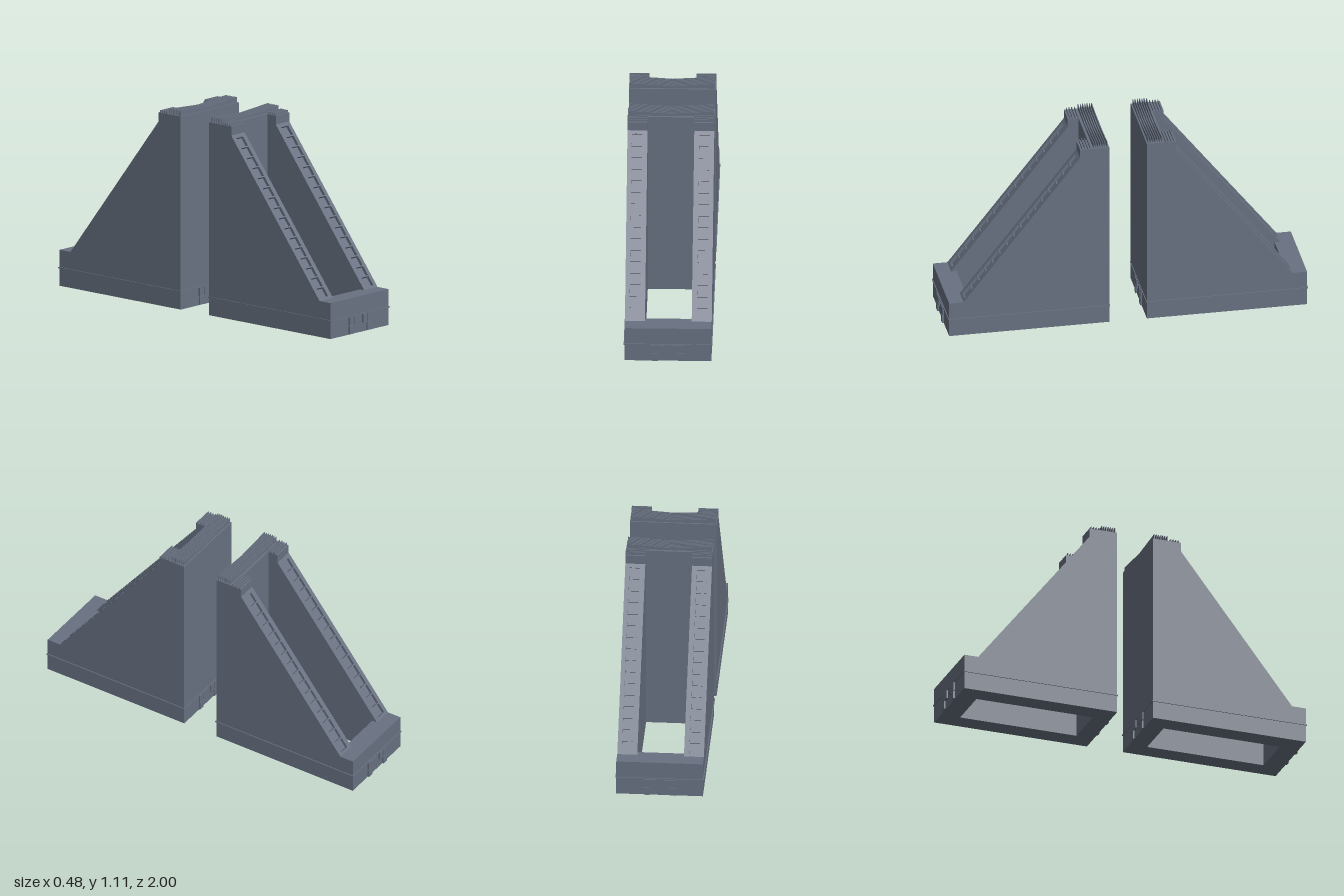
import * as THREE from 'three';

const stone = new THREE.MeshStandardMaterial({ color: 0x697282, flatShading: true });

const HALF = 0.236, INNER = 0.127;      // outer and inner faces of the side walls
const FOOT = [0.91, 0.2], HEAD = [0.265, 1.025]; // ends of the slope as [z, y]
const TILT = Math.atan2(FOOT[0] - HEAD[0], HEAD[1] - FOOT[1]);
const NORMAL = [Math.cos(TILT), Math.sin(TILT)];

function add(parent, name, geometry, x = 0, y = 0, z = 0) {
  const mesh = new THREE.Mesh(geometry, stone);
  mesh.name = name;
  mesh.position.set(x, y, z);
  parent.add(mesh);
  return mesh;
}

// Box given by its limits on each axis
function block(parent, name, x0, x1, y0, y1, z0, z1) {
  return add(parent, name, new THREE.BoxGeometry(x1 - x0, y1 - y0, z1 - z0),
    (x0 + x1) / 2, (y0 + y1) / 2, (z0 + z1) / 2);
}

// Profile in [z, y], extruded across x0..x1
function slab(parent, name, points, x0, x1) {
  const shape = new THREE.Shape(points.map(p => new THREE.Vector2(...p)));
  const geometry = new THREE.ExtrudeGeometry(shape, { depth: x1 - x0, bevelEnabled: false });
  add(parent, name, geometry, x1).rotation.y = -Math.PI / 2;
}

// Point on the slope, t = 0 at the foot, sunk below the surface by depth
function onSlope(t, depth = 0) {
  return [0, 1].map(i => FOOT[i] + (HEAD[i] - FOOT[i]) * t - NORMAL[i] * depth);
}

function sideWall(sign) {
  const wall = new THREE.Group();
  wall.name = sign > 0 ? 'leftWall' : 'rightWall';
  const span = (a, b) => sign > 0 ? [a, b] : [-b, -a];
  const start = [[0.104, 0], [0.93, 0], [0.93, 0.2], FOOT];
  const end = [HEAD, [0.265, 1.075], [0.104, 1.075]];

  // Two raised rails with a sunken strip between them
  slab(wall, 'innerRail', [...start, ...end], ...span(INNER, 0.155));
  slab(wall, 'outerRail', [...start, ...end], ...span(0.212, HALF));
  const groove = [onSlope(0.012), onSlope(0.012, 0.016), onSlope(0.982, 0.016), onSlope(0.982)];
  slab(wall, 'ladderBed', [...start, ...groove, ...end], ...span(0.155, 0.212));

  // Rungs across the strip
  for (let i = 0; i <= 16; i++) {
    const [z, y] = onSlope(0.012 + 0.97 * i / 16, 0.008);
    add(wall, 'rung', new THREE.BoxGeometry(0.057, 0.007, 0.015), sign * 0.1835, y, z)
      .rotation.x = -TILT;
  }

  // Low ridges on the head of the wall
  for (let i = 0; i < 4; i++) {
    const z = 0.206 + i * 0.015;
    block(wall, 'headRidge', ...span(INNER, HALF), 1.073, 1.088, z, z + 0.004);
  }
  return wall;
}

function createTower() {
  const tower = new THREE.Group();
  tower.name = 'tower';
  tower.add(sideWall(1), sideWall(-1));

  // Tall wall and low end wall closing the shaft
  block(tower, 'tallWall', -INNER, INNER, 0, 1.075, 0.104, 0.205);
  block(tower, 'endWall', -INNER, INNER, 0, 0.2, 0.88, 0.93);
  block(tower, 'endWallFace', -HALF, HALF, 0, 0.2, 0.93, 0.99);

  // Ridges on top, dipping in the middle
  const ridge = new THREE.Shape();
  ridge.moveTo(-0.231, 1.073);
  ridge.lineTo(0.231, 1.073);
  ridge.lineTo(0.231, 1.105);
  ridge.lineTo(0, 1.09);
  ridge.lineTo(-0.231, 1.105);
  for (let i = 0; i < 7; i++) {
    add(tower, 'topRidge', new THREE.ExtrudeGeometry(ridge, { depth: 0.004, bevelEnabled: false }),
      0, 0, 0.112 + i * 0.0125);
  }

  // Thin moulding around the base
  const out = HALF + 0.005;
  for (const s of [1, -1]) {
    const x = [s * (HALF - 0.002), s * out].sort((a, b) => a - b);
    block(tower, 'baseMoulding', ...x, 0.098, 0.104, 0.1, 0.995);
  }
  block(tower, 'baseMoulding', -out, out, 0.098, 0.104, 0.988, 0.995);
  block(tower, 'baseMoulding', -out, out, 0.098, 0.104, 0.1, 0.106);

  // Small raised stones on both ends of the base
  for (const s of [1, -1]) {
    for (const [a, b, y0, y1] of [[0.02, 0.053, 0.052, 0.098], [0.057, 0.09, 0.052, 0.098], [0.055, 0.088, 0.003, 0.048]]) {
      const x = s > 0 ? [a, b] : [-b, -a];
      block(tower, 'raisedStone', ...x, y0, y1, 0.985, 1);
      block(tower, 'raisedStone', ...x, y0, y1, 0.096, 0.106);
    }
  }
  return tower;
}

export function createModel() {
  const model = new THREE.Group();
  model.name = 'twinBridgeTowers';
  const front = createTower();
  front.name = 'frontTower';
  const back = createTower();
  back.name = 'backTower';
  back.rotation.y = Math.PI;
  model.add(front, back);
  return model;
}
